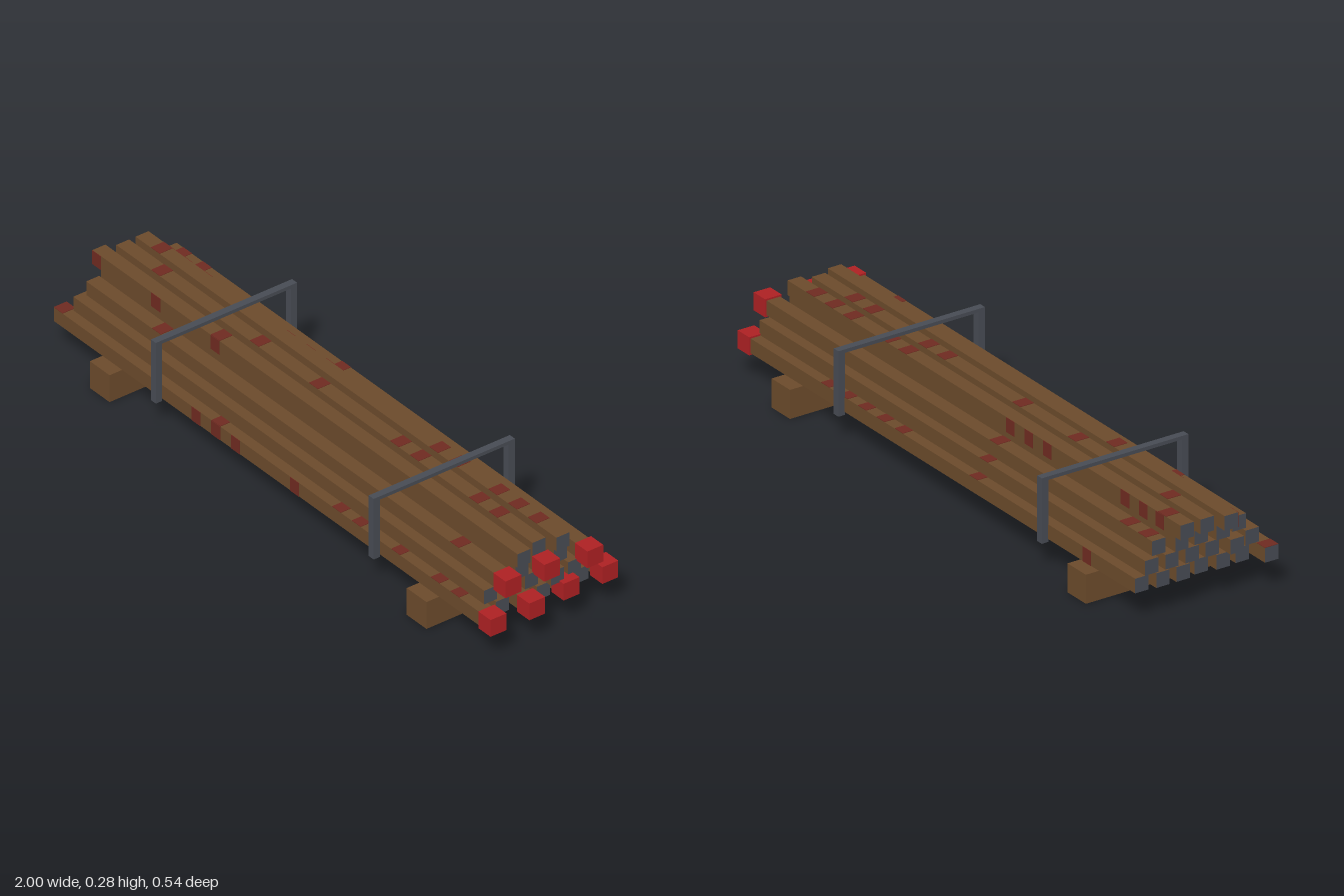
import * as THREE from 'three';

const mat = (name, color) => {
  const m = new THREE.MeshStandardMaterial({ color });
  m.name = name;
  return m;
};

export function createModel() {
  const wood = mat('brown', 0x6b4a2b);
  const steel = mat('steel grey', 0x474b53);
  const red = mat('cap red', 0xad2023);
  const rust = mat('rust red', 0x6e2a20);
  const model = new THREE.Group();
  const S = 0.0455, PITCH = 0.0683, BASE = 0.09, CAP = 0.056;

  const box = (name, material, x0, x1, y0, y1, z0, z1, parent = model) => {
    const mesh = new THREE.Mesh(new THREE.BoxGeometry(x1 - x0, y1 - y0, z1 - z0), material);
    mesh.position.set((x0 + x1) / 2, (y0 + y1) / 2, (z0 + z1) / 2);
    mesh.name = name;
    parent.add(mesh);
    return mesh;
  };

  // Two timber bearers
  for (const x of [-0.733, 0.713]) box('bearer', wood, x - 0.045, x + 0.045, 0, BASE, -0.272, 0.272);

  // Rows of bars from back to front: [left end, right end, capped]
  const rows = [
    [[-0.955, 0.95, 1], [-0.96, 0.94, 0], [-0.96, 0.95, 1], [-0.95, 0.94, 0], [-0.96, 0.97, 1], [-0.955, 0.93, 0], [-1, 0.97, 1]],
    [[-0.955, 0.93, 0], [-0.955, 0.95, 0], [-0.955, 0.96, 0], [-0.955, 0.93, 0], [-0.98, 0.93, 0], [-0.955, 0.92, 0]],
    [[-0.94, 0.97, 1], [-0.955, 0.93, 0], [-0.95, 0.95, 1], [-0.96, 0.93, 0], [-0.94, 0.95, 1]],
    [[-0.98, 0.94, 0], [-0.98, 0.92, 0], [-1, 0.94, 0]],
  ];
  const bars = new THREE.Group();
  bars.name = 'barStack';
  model.add(bars);
  const ends = [steel, steel, wood, wood, wood, wood];
  const barZ = (row, i) => (i - (rows[row].length - 1) / 2) * PITCH;
  rows.forEach((row, r) => row.forEach(([x0, x1, capped], i) => {
    const y = BASE + r * S, z = barZ(r, i);
    box('bar', ends, x0, x1, y, y + S, z - S / 2, z + S / 2, bars);
    if (capped) {
      const end = x1 + 0.03, c = y + S / 2;
      box('endCap', red, end - CAP, end, c - CAP / 2, c + CAP / 2, z - CAP / 2, z + CAP / 2, bars);
    }
  }));

  // Thin rust marks on bar faces
  const patches = new THREE.Group();
  patches.name = 'rustMarks';
  model.add(patches);
  const T = 0.0015, H = 0.02;
  const mark = (row, i, face, xs) => xs.forEach((x) => {
    const y = BASE + row * S, z = barZ(row, i), h = S / 2;
    if (face === 'top') box('rustMark', rust, x - H, x + H, y + S, y + S + T, z - h, z + h, patches);
    if (face === 'bottom') box('rustMark', rust, x - H, x + H, y - T, y, z - h, z + h, patches);
    if (face === 'front') box('rustMark', rust, x - H, x + H, y, y + S, z + h, z + h + T, patches);
    if (face === 'back') box('rustMark', rust, x - H, x + H, y, y + S, z - h - T, z - h, patches);
  });
  mark(0, 0, 'top', [-0.165, 0.2, 0.29, 0.38, 0.47, 0.56]);
  mark(0, 6, 'top', [-0.98, -0.26, 0.29, 0.38, 0.56, 0.74, 0.83]);
  mark(1, 0, 'top', [-0.165]);
  mark(1, 1, 'top', [-0.45, 0.74, 0.82]);
  mark(1, 2, 'top', [0.78]);
  mark(1, 3, 'top', [-0.71, -0.62]);
  mark(1, 4, 'top', [0.83]);
  mark(2, 0, 'top', [-0.89, -0.8, -0.165]);
  mark(2, 4, 'top', [-0.62, 0.74]);
  mark(3, 0, 'top', [-0.89, 0.38, 0.47, 0.65, 0.74, 0.83]);
  mark(3, 1, 'top', [-0.8, -0.35, -0.08, 0.29, 0.38, 0.65, 0.74]);
  mark(3, 2, 'top', [-0.44]);
  mark(0, 6, 'front', [-0.35, -0.26, -0.17, 0.1]);
  mark(3, 2, 'front', [-0.98, -0.71, -0.44]);
  mark(3, 0, 'back', [-0.15, -0.24, -0.33, -0.71, -0.8, -0.88]);
  mark(0, 0, 'back', [-0.72]);
  mark(0, 2, 'bottom', [-0.2, 0.3]);
  mark(0, 4, 'bottom', [0.05]);

  // Steel straps: two legs and a top bar each
  for (const x of [-0.518, 0.476]) {
    const strap = new THREE.Group();
    strap.name = 'strap';
    model.add(strap);
    const x0 = x - 0.0115, x1 = x + 0.0115;
    box('strapTop', steel, x0, x1, 0.273, 0.284, -0.249, 0.249, strap);
    for (const z of [-0.238, 0.238]) box('strapLeg', steel, x0, x1, 0.081, 0.2735, z - 0.011, z + 0.011, strap);
  }
  return model;
}
